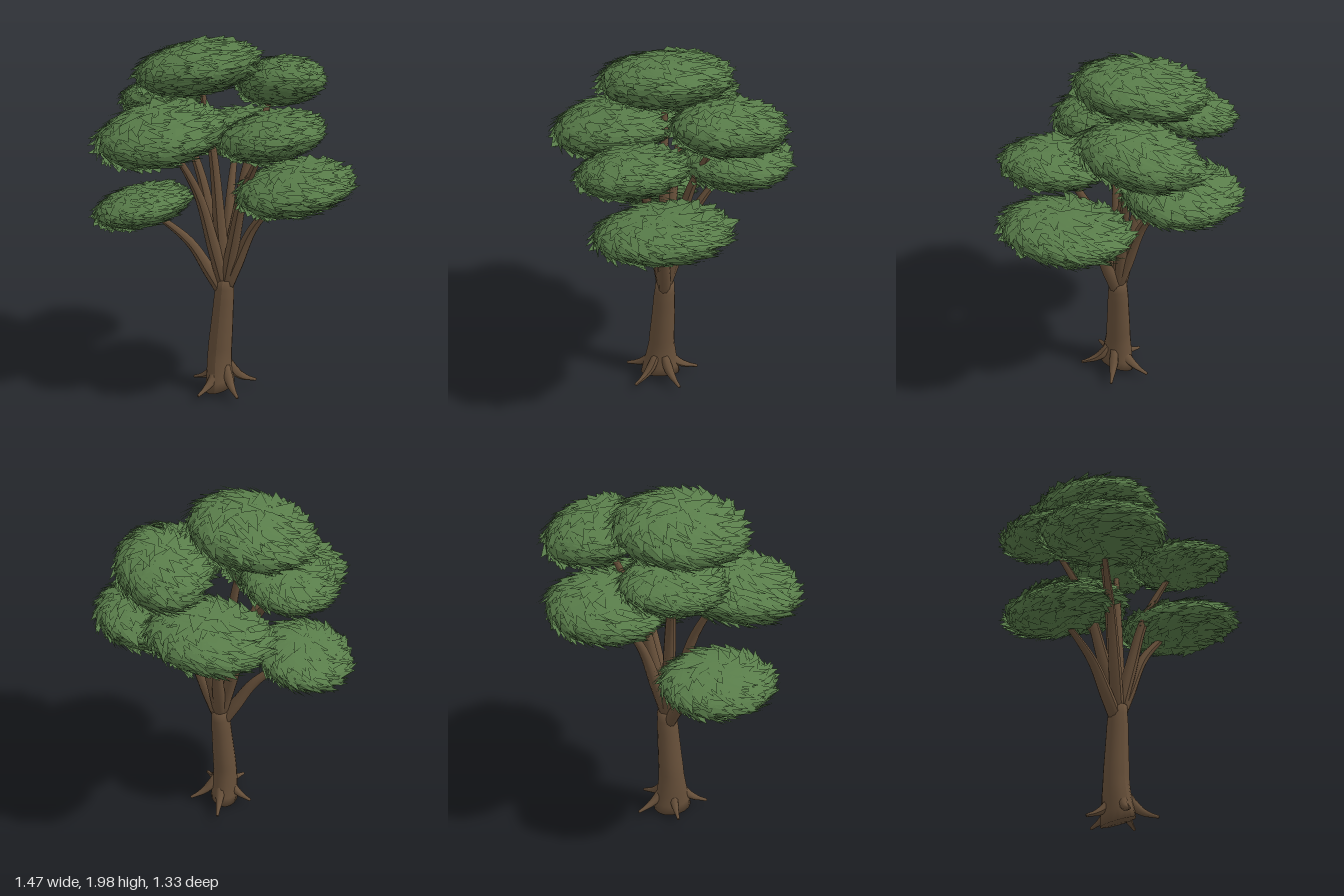
import * as THREE from 'three';

const V = (x, y, z) => new THREE.Vector3(x, y, z);

// Seeded random numbers in 0..1
function seeded(seed) {
  let s = seed;
  return () => {
    s = (s * 1664525 + 1013904223) % 4294967296;
    return s / 4294967296;
  };
}

// Smooth tube whose radius follows the given list; its ends close to a point
function taperedTube(points, radii, sides = 12, steps = 16) {
  const curve = new THREE.CatmullRomCurve3(points);
  const geo = new THREE.TubeGeometry(curve, steps, 1, sides, false);
  const pos = geo.attributes.position;
  const p = V(0, 0, 0);
  for (let i = 0; i <= steps; i++) {
    const c = curve.getPointAt(i === 1 ? 0 : i === steps - 1 ? 1 : i / steps);
    const raw = curve.getPointAt(i / steps);
    const f = (i / steps) * (radii.length - 1);
    const k = Math.min(Math.floor(f), radii.length - 2);
    const r = i === 0 || i === steps ? 0.001 : THREE.MathUtils.lerp(radii[k], radii[k + 1], f - k);
    for (let j = 0; j <= sides; j++) {
      const n = i * (sides + 1) + j;
      p.fromBufferAttribute(pos, n).sub(raw).multiplyScalar(r).add(c);
      pos.setXYZ(n, p.x, p.y, p.z);
    }
  }
  geo.computeVertexNormals();
  return geo;
}

// Broad swirling pointed leaves laid like shingles over a unit sphere
function leafBlades(count, seed) {
  const rnd = seeded(seed);
  const pos = [], nor = [];
  for (let i = 0; i < count; i++) {
    const y = 1 - (2 * (i + 0.5)) / count;
    const h = Math.sqrt(1 - y * y);
    const a = i * 2.39996 + (rnd() - 0.5) * 0.4;
    const p = V(h * Math.cos(a), y, h * Math.sin(a));
    const out = V(p.x, 0, p.z).normalize();
    const d = V(out.z, 0, -out.x).multiplyScalar(0.6 + 0.5 * rnd())
      .addScaledVector(out, 0.1 + 0.9 * rnd());
    d.y += (rnd() - 0.65) * 1.2;
    d.addScaledVector(p, -d.dot(p)).normalize();
    const side = p.clone().cross(d).multiplyScalar(0.11 + 0.07 * rnd());
    const base = p.clone().multiplyScalar(0.92 + 0.05 * rnd());
    const tip = base.clone().addScaledVector(d, 0.3 + 0.2 * rnd())
      .normalize().multiplyScalar(0.97 + 0.17 * rnd());
    for (const v of [base.clone().sub(side), tip, base.clone().add(side)]) {
      pos.push(v.x, v.y, v.z);
      nor.push(p.x, p.y, p.z);
    }
  }
  const geo = new THREE.BufferGeometry();
  geo.setAttribute('position', new THREE.Float32BufferAttribute(pos, 3));
  geo.setAttribute('normal', new THREE.Float32BufferAttribute(nor, 3));
  return geo;
}

export function createModel() {
  const tree = new THREE.Group();
  tree.name = 'tree';
  const bark = new THREE.MeshStandardMaterial({ color: 0x664f39 });
  bark.name = 'bark brown';
  const leaf = new THREE.MeshStandardMaterial({ color: 0x597d4a, side: THREE.DoubleSide });
  leaf.name = 'leaf green';

  const add = (parent, name, geo, mat) => {
    const mesh = new THREE.Mesh(geo, mat);
    mesh.name = name;
    parent.add(mesh);
  };

  // Trunk: leaning slightly, flared and deeper than wide at the foot
  const trunkGeo = taperedTube(
    [V(-0.01, 0.03, 0.055), V(-0.016, 0.2, 0.05), V(-0.004, 0.42, 0.04), V(0.012, 0.67, 0.03)],
    [0.08, 0.072, 0.068, 0.066, 0.062, 0.058, 0.055, 0.046], 16, 24);
  const tp = trunkGeo.attributes.position;
  for (let i = 0; i < tp.count; i++) {
    const low = Math.max(0, 1 - tp.getY(i) / 0.25);
    tp.setZ(i, 0.05 + (tp.getZ(i) - 0.05) * (1.1 + 0.42 * low));
    tp.setY(i, tp.getY(i) + tp.getX(i) * 0.25 * low);
  }
  trunkGeo.computeVertexNormals();
  add(tree, 'trunk', trunkGeo, bark);

  // Roots: five pointed spurs around the foot
  for (let i = 0; i < 5; i++) {
    const a = Math.PI / 4 + (i * Math.PI * 2) / 5;
    const at = (r, y) => V(r * Math.cos(a) + 0.005, y, 1.18 * r * Math.sin(a) + 0.053);
    add(tree, 'root', taperedTube(
      [at(0.035, 0.17), at(0.075, 0.105), at(0.12, 0.07), at(0.185, 0.045)],
      [0.022, 0.028, 0.018, 0.004], 8, 10), bark);
  }

  // Foliage: centre, radii, tilt about x, turn about y, tilt about z, branch start height
  const clouds = [
    [[-0.15, 1.83, 0.02], [0.33, 0.142, 0.35], 0, 0.2, 0.17, 0.62],
    [[0.225, 1.725, -0.28], [0.24, 0.14, 0.31], -0.15, 0.4, 0.14, 0.64],
    [[-0.38, 1.65, -0.12], [0.24, 0.1, 0.27], 0, 0, 0.14, 0.63],
    [[-0.27, 1.525, 0.27], [0.33, 0.14, 0.36], 0.14, 0, 0.1, 0.61],
    [[0.31, 1.54, 0.21], [0.27, 0.115, 0.28], 0.08, 0, 0.16, 0.62],
    [[-0.03, 1.415, -0.35], [0.32, 0.125, 0.3], 0, 0, 0.1, 0.64],
    [[0.4, 1.235, 0.06], [0.31, 0.12, 0.36], 0.06, 0, 0.14, 0.6],
    [[-0.44, 1.075, 0.11], [0.26, 0.105, 0.31], 0, 0, 0.18, 0.57],
  ];
  const coreGeo = new THREE.SphereGeometry(0.92, 28, 18);
  clouds.forEach(([c, r, tiltX, turn, tiltZ, y0], i) => {
    const cloud = new THREE.Group();
    cloud.name = 'leafCloud';
    add(cloud, 'leafCore', coreGeo, leaf);
    add(cloud, 'leafBlades', leafBlades(480, 11 + i * 37), leaf);
    cloud.position.set(...c);
    cloud.scale.set(...r);
    cloud.rotation.set(tiltX, turn, tiltZ);
    tree.add(cloud);

    // Branch from the trunk top into the underside of this cloud
    const start = V(0.01, y0, 0.032);
    const end = V(c[0] * 0.92, c[1] - 0.02, c[2] * 0.92);
    const along = (h, v) => V(
      THREE.MathUtils.lerp(start.x, end.x, h),
      THREE.MathUtils.lerp(start.y, end.y, v),
      THREE.MathUtils.lerp(start.z, end.z, h));
    add(tree, 'branch', taperedTube([start, along(0.21, 0.3), along(0.47, 0.64), end],
      [0.036, 0.036, 0.028, 0.02, 0.012], 10, 16), bark);
  });

  return tree;
}
